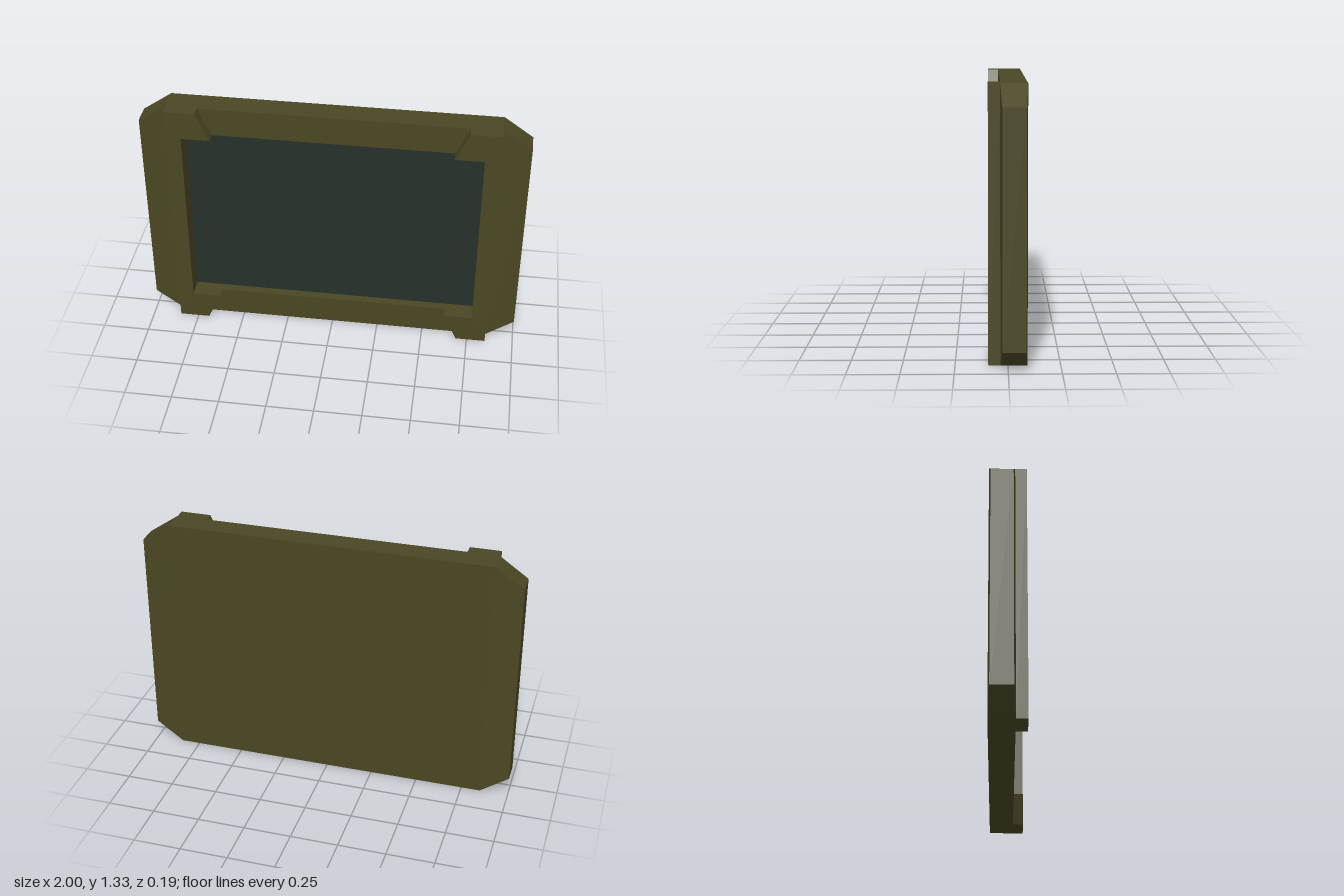
import * as THREE from 'three';

const H = 1.33, MID = H / 2;          // overall height and its middle
const BACK = -0.093, FRONT = 0.036, GRIP = 0.093, SCREEN = -0.01;

function polygon(Type, points) {
  return new Type(points.map(([x, y]) => new THREE.Vector2(x, y)));
}

function slab(shape, z0, z1) {
  return new THREE.ExtrudeGeometry(shape, { depth: z1 - z0, bevelEnabled: false }).translate(0, 0, z0);
}

// Box whose outer face (away from the centre) is narrowed in height and depth
function sideWedge(side) {
  const geo = new THREE.BoxGeometry(0.15, H, FRONT - BACK);
  const p = geo.attributes.position;
  for (let i = 0; i < p.count; i++) {
    if (p.getX(i) * side > 0) {
      p.setY(i, Math.sign(p.getY(i)) * (MID - 0.1));
      p.setZ(i, p.getZ(i) - Math.sign(p.getZ(i)) * 0.009);
    }
  }
  geo.translate(side * 0.925, MID, (FRONT + BACK) / 2);
  geo.computeVertexNormals();
  return geo;
}

export function createModel() {
  const model = new THREE.Group();
  model.name = 'tabletDisplay';
  const olive = new THREE.MeshStandardMaterial({ name: 'olive casing', color: 0x4a4723 });
  const glass = new THREE.MeshStandardMaterial({ name: 'dark green screen', color: 0x25302a });
  const add = (name, geometry, material = olive) => {
    const mesh = new THREE.Mesh(geometry, material);
    mesh.name = name;
    model.add(mesh);
  };

  // Rear shell and the bezel around the screen opening
  const outline = [[-0.85, 0], [0.85, 0], [0.85, H], [-0.85, H]];
  add('rearShell', slab(polygon(THREE.Shape, outline), BACK, SCREEN - 0.002));
  const bezel = polygon(THREE.Shape, outline);
  bezel.holes.push(polygon(THREE.Path, [[-0.77, 0.155], [-0.77, 1.177], [0.77, 1.177], [0.77, 0.155]]));
  add('bezel', slab(bezel, SCREEN - 0.002, FRONT));

  // Recessed screen
  add('screen', new THREE.PlaneGeometry(1.54, 1.022).translate(0, 0.666, SCREEN), glass);

  // Tapered ends and raised C-shaped grips
  for (const side of [-1, 1]) {
    const label = side > 0 ? 'left' : 'right';
    add(label + 'End', sideWedge(side));
    const grip = polygon(THREE.Shape, [
      [0.85, 0], [0.85, H], [0.69, H], [0.62, 1.177],
      [0.77, 1.177], [0.77, 0.155], [0.62, 0.155], [0.69, 0],
    ].map(([x, y]) => [x * side, y]));
    add(label + 'Grip', slab(grip, FRONT, GRIP));
  }
  return model;
}
